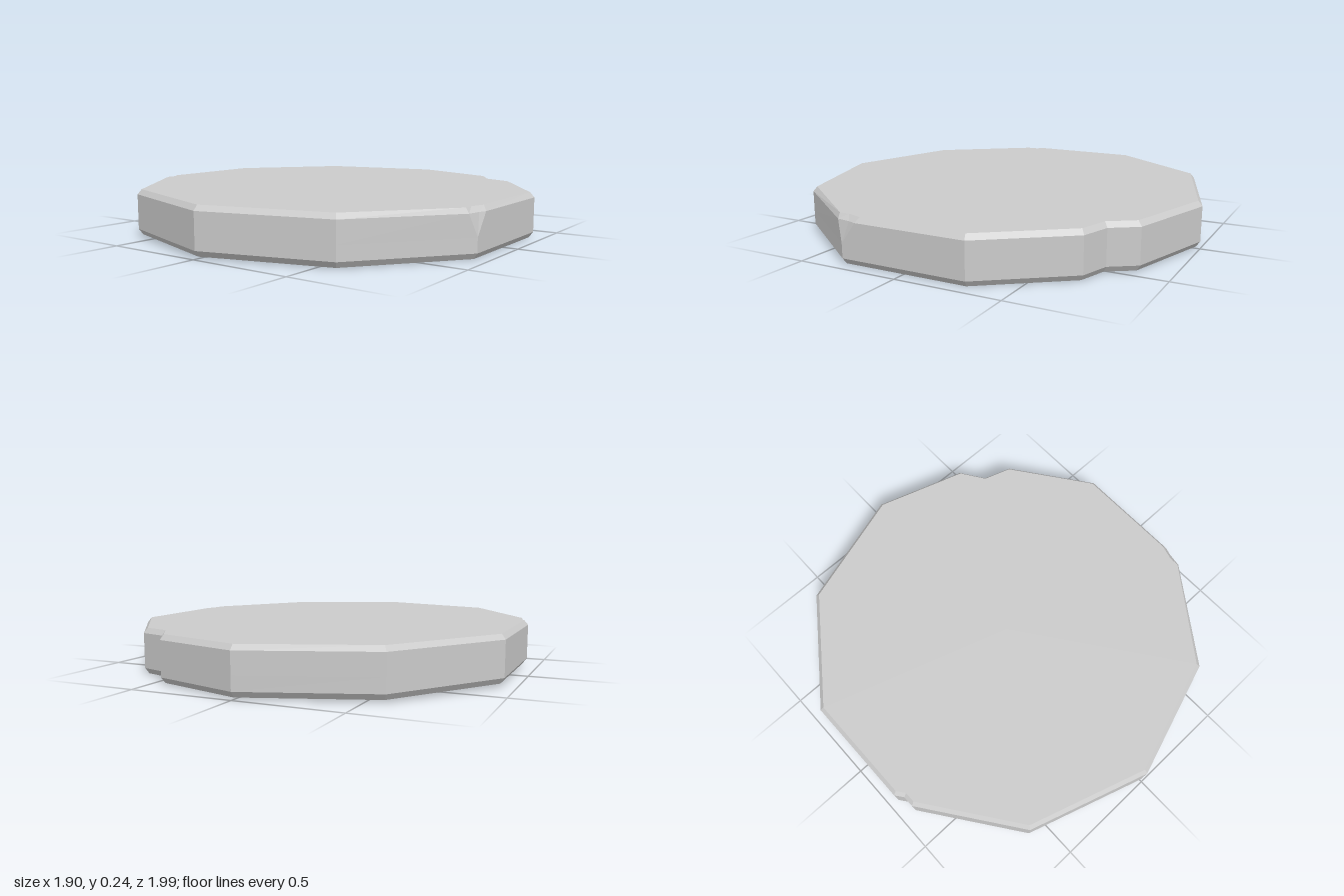
import * as THREE from 'three';

// Decagon outline (x, z) with two full-height notches; 'chip' marks the corner broken at its upper edge
const outline = [
  [0.95, -0.31], 'chip', [0.585, 0.8], [0, 0.99], [-0.59, 0.8],
  [-0.92, 0.345], [-0.92, 0.29], [-0.95, 0.25],
  [-0.95, -0.31], [-0.59, -0.81], [0, -1],
  [0.45, -0.86], [0.53, -0.74], [0.67, -0.695],
];
const corner = [[0.95, 0.31], [0.95, 0.31], [0.95, 0.31]];
const chipSide = [[0.95, 0.235], [0.937, 0.275], [0.925, 0.345]];
const chipTop = [[0.932, 0.22], [0.91, 0.295], [0.91, 0.345]];

// One horizontal ring of the slab, very slightly tilted along x
function ring(y, scale, chip) {
  return outline
    .flatMap((p) => (p === 'chip' ? chip : [[p[0] * scale, p[1] * scale]]))
    .map(([x, z]) => new THREE.Vector3(x, y - 0.009 * x, z));
}

export function createModel() {
  const inset = 0.98;
  const insetCorner = corner.map(([x, z]) => [x * inset, z * inset]);
  const rings = [
    ring(0.01, inset, insetCorner), // lower face
    ring(0.037, 1, corner), // lower bevel
    ring(0.105, 1, corner), // foot of the chip
    ring(0.205, 1, chipSide), // upper bevel
    ring(0.229, inset, chipTop), // upper face
  ];
  const n = rings[0].length;
  const points = [];
  const tri = (a, b, c) => {
    const area = new THREE.Triangle(a, b, c).getArea();
    if (area > 1e-7) points.push(a, b, c);
  };

  const bottomCentre = new THREE.Vector3(0, 0.01, 0);
  const topCentre = new THREE.Vector3(0, 0.229, 0);
  for (let i = 0; i < n; i++) {
    const j = (i + 1) % n;
    // Side bands and bevels
    for (let k = 0; k < rings.length - 1; k++) {
      const low = rings[k], high = rings[k + 1];
      tri(low[i], high[i], low[j]);
      tri(low[j], high[i], high[j]);
    }
    // Flat faces
    tri(bottomCentre, rings[0][i], rings[0][j]);
    tri(topCentre, rings[4][j], rings[4][i]);
  }

  const geometry = new THREE.BufferGeometry().setFromPoints(points);
  geometry.computeVertexNormals();
  const slab = new THREE.Mesh(
    geometry,
    new THREE.MeshStandardMaterial({ color: 0xcccccc, flatShading: true })
  );
  slab.name = 'chippedStoneSlab';

  const group = new THREE.Group();
  group.name = 'stoneDisc';
  group.add(slab);
  return group;
}
